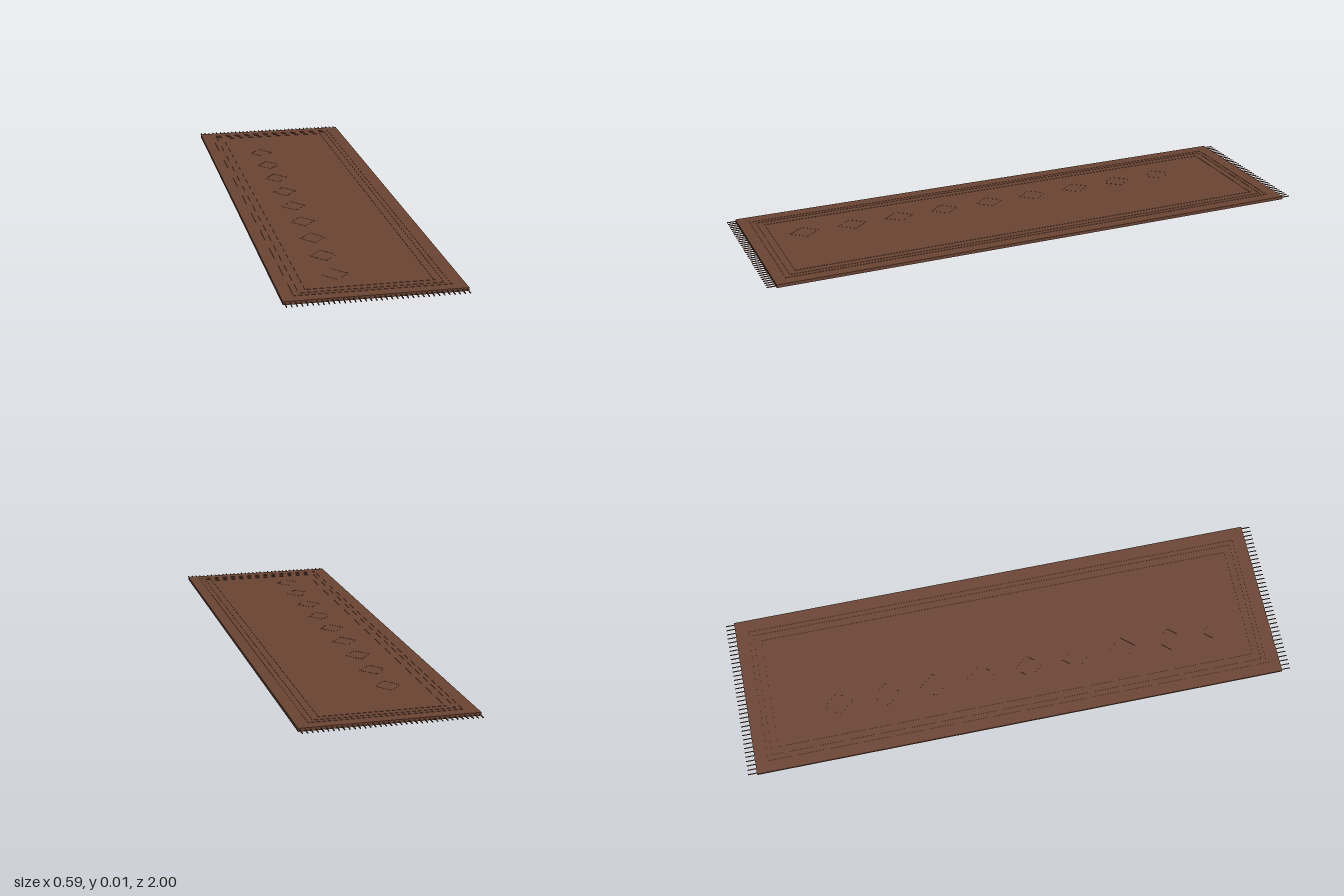
import * as THREE from 'three';

export function createModel() {
  const rug = new THREE.Group();
  rug.name = 'runnerRug';
  const wool = new THREE.MeshStandardMaterial({ color: 0x6b4433 });
  const W = 0.294, L = 0.968, H = 0.011;

  const box = (parent, name, w, h, d, x, y, z, turn = 0) => {
    const m = new THREE.Mesh(new THREE.BoxGeometry(w, h, d), wool);
    m.name = name;
    m.position.set(x, y, z);
    m.rotation.y = turn;
    parent.add(m);
    return m;
  };

  // woven body
  box(rug, 'body', W * 2, H, L * 2, 0, H / 2, 0);

  // nested border lines, barely proud of the pile
  for (const [inset, width] of [[0.041, 0.006], [0.06, 0.004], [0.085, 0.005]]) {
    const border = new THREE.Group();
    border.name = 'border';
    const x = W - inset, z = L - inset;
    for (const s of [-1, 1]) {
      box(border, 'borderSide', width, 0.002, z * 2, s * (x - width / 2), H, 0);
      box(border, 'borderEnd', (x - width) * 2, 0.002, width, 0, H, s * (z - width / 2));
    }
    rug.add(border);
  }

  // row of diamond outlines along one side of the field
  const a = 0.042, b = 0.05;
  for (let i = 0; i < 9; i++) {
    const diamond = new THREE.Group();
    diamond.name = 'diamond';
    diamond.position.set(-0.09, H, -0.64 + i * 0.176);
    for (const sx of [-1, 1]) for (const sz of [-1, 1]) {
      box(diamond, 'diamondEdge', Math.hypot(a, b), 0.001, 0.004,
        sx * a / 2, 0, sz * b / 2, Math.atan2(b, a) * sx * sz);
    }
    rug.add(diamond);
  }

  // fringe strands at both ends
  const strands = 36;
  for (const s of [-1, 1]) {
    const fringe = new THREE.Group();
    fringe.name = s > 0 ? 'frontFringe' : 'backFringe';
    for (let i = 0; i < strands; i++) {
      const x = (i / (strands - 1) * 2 - 1) * (W - 0.006);
      box(fringe, 'strand', 0.003, 0.003, 1 - L, x, H / 2, s * (1 + L) / 2);
    }
    rug.add(fringe);
  }
  return rug;
}
